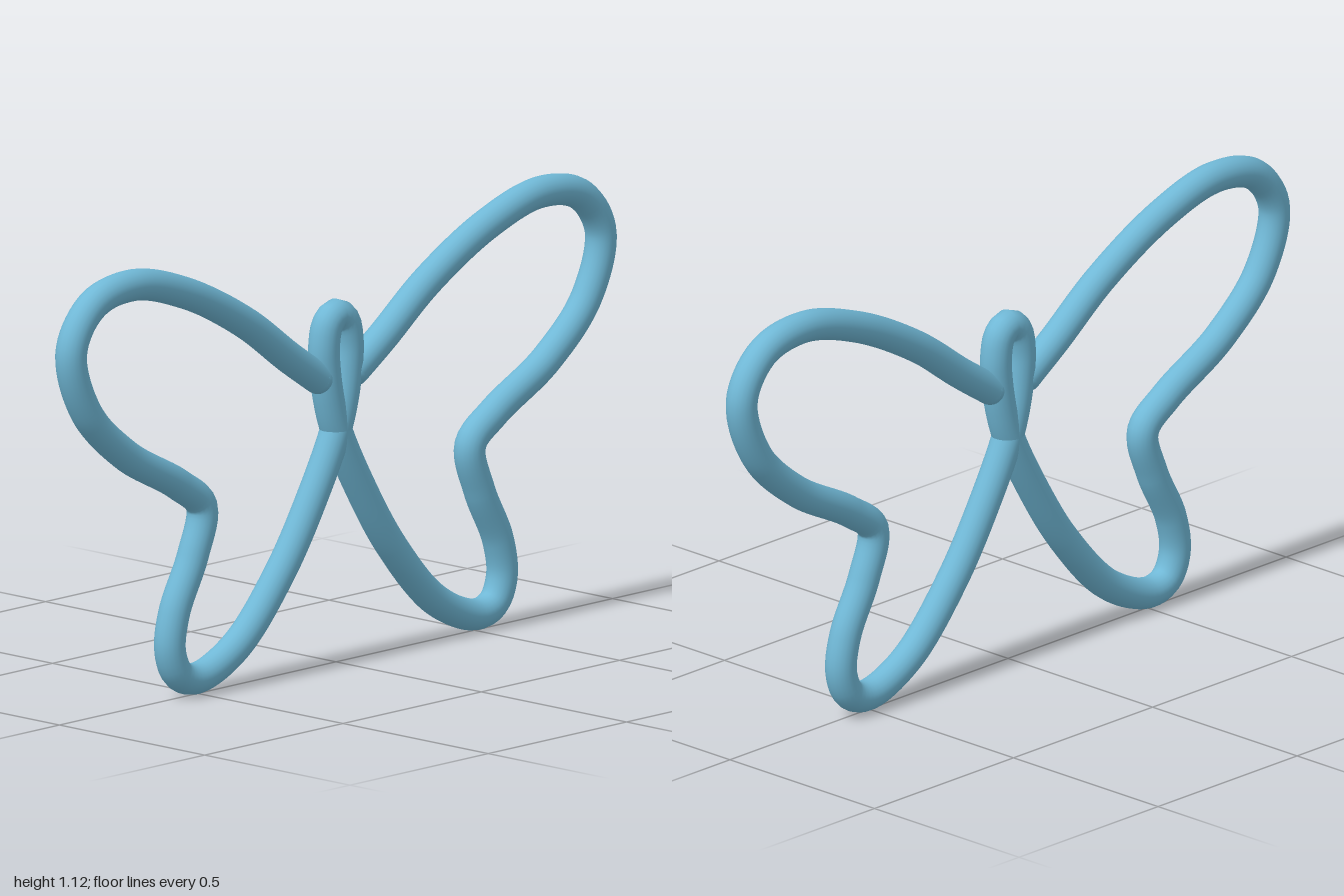
import * as THREE from 'three';

const RADIUS = 0.04;

// Centre line of one half: wing root, upper wing, notch, lower wing, then across into the body loop
const HALF = [
  [0.065, 0.74], [0.17, 0.81], [0.33, 0.925], [0.545, 1.035], [0.74, 1.086], [0.885, 1.055],
  [0.957, 0.95], [0.905, 0.79], [0.76, 0.655], [0.57, 0.55], [0.485, 0.48], [0.518, 0.36],
  [0.585, 0.225], [0.6, 0.13], [0.57, 0.065], [0.505, 0.045], [0.36, 0.105], [0.2, 0.27],
  [0.08, 0.45], [0, 0.6], [-0.026, 0.68], [-0.04, 0.76], [-0.043, 0.82], [-0.03, 0.873],
];

export function createModel() {
  const group = new THREE.Group();
  const blue = new THREE.MeshStandardMaterial({ color: 0x70b8d6 });
  blue.name = 'sky blue';

  // Both halves joined by the top of the body loop into one continuous wire
  const right = HALF.map(([x, y]) => new THREE.Vector3(x, y, 0));
  const left = HALF.map(([x, y]) => new THREE.Vector3(-x, y, 0)).reverse();
  const path = new THREE.CatmullRomCurve3([...right, new THREE.Vector3(0, 0.893, 0), ...left]);
  const wire = new THREE.Mesh(new THREE.TubeGeometry(path, 400, RADIUS, 20), blue);
  wire.name = 'butterflyWire';
  group.add(wire);

  // Rounded wire ends at the wing roots
  for (const side of [1, -1]) {
    const end = new THREE.Mesh(new THREE.SphereGeometry(RADIUS, 20, 14), blue);
    end.name = side > 0 ? 'leftWingRoot' : 'rightWingRoot';
    end.position.set(side * HALF[0][0], HALF[0][1], 0);
    group.add(end);
  }
  return group;
}
